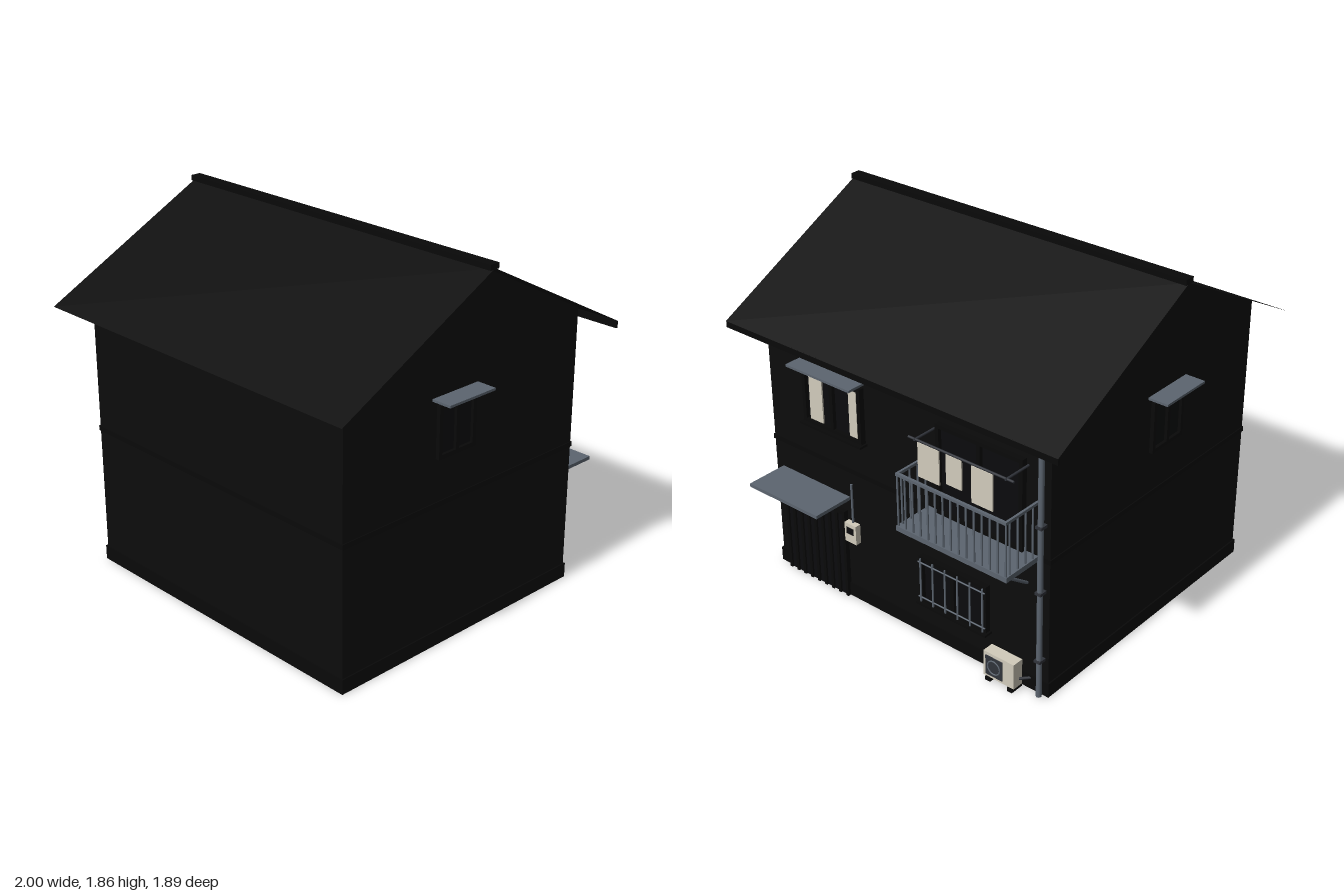
import * as THREE from 'three';

const paint = (name, color, side = THREE.FrontSide) => {
  const m = new THREE.MeshStandardMaterial({ color, side });
  m.name = name;
  return m;
};

export function createModel() {
  const house = new THREE.Group();
  house.name = 'house';

  const wall = paint('wall black', 0x0c0c0c);
  const roofing = paint('roof black', 0x0d0d0d, THREE.DoubleSide);
  const timber = paint('timber black', 0x090909);
  const glass = paint('dark glass', 0x0a0b0d);
  const metal = paint('grey metal', 0x5c6570);
  const darkMetal = paint('dark metal', 0x30333a);
  const cream = paint('cream', 0xd2ccbc);

  const group = (name, parent = house) => {
    const g = new THREE.Group();
    g.name = name;
    parent.add(g);
    return g;
  };
  const add = (name, geo, mat, parent) => {
    const m = new THREE.Mesh(geo, mat);
    m.name = name;
    parent.add(m);
    return m;
  };
  // Box given by its limits on each axis
  const box = (name, mat, [x0, x1], [y0, y1], [z0, z1], parent = house) => {
    const m = add(name, new THREE.BoxGeometry(x1 - x0, y1 - y0, z1 - z0), mat, parent);
    m.position.set((x0 + x1) / 2, (y0 + y1) / 2, (z0 + z1) / 2);
    return m;
  };
  // Round rod between two points
  const rod = (name, mat, a, b, r, parent = house) => {
    const p = new THREE.Vector3(...a), q = new THREE.Vector3(...b);
    const m = add(name, new THREE.CylinderGeometry(r, r, p.distanceTo(q), 8), mat, parent);
    m.position.copy(p).lerp(q, 0.5);
    m.quaternion.setFromUnitVectors(new THREE.Vector3(0, 1, 0), q.sub(p).normalize());
    return m;
  };

  // Walls with gables, extruded along x
  const W = 0.865, BACK = -0.72, FRONT = 0.81, MID = 0.045, EAVE = 1.433, PEAK = 1.83;
  const gable = new THREE.Shape([[-FRONT, 0], [-BACK, 0], [-BACK, EAVE], [-MID, PEAK], [-FRONT, EAVE]]
    .map(([x, y]) => new THREE.Vector2(x, y)));
  const body = new THREE.ExtrudeGeometry(gable, { depth: 2 * W, bevelEnabled: false });
  body.translate(0, 0, -W).rotateY(Math.PI / 2);
  add('walls', body, wall, house);
  box('plinth', timber, [-0.872, 0.872], [0, 0.075], [BACK - 0.008, FRONT + 0.008]);
  box('belt', timber, [-0.87, 0.87], [0.72, 0.745], [BACK - 0.006, FRONT + 0.006]);

  // Thin roof sheets, ridge cap and back eave board
  const roof = group('roof');
  const run = 0.9, drop = run * (PEAK - EAVE) / (FRONT - MID);
  for (const s of [1, -1]) {
    const sheet = new THREE.PlaneGeometry(2, Math.hypot(run, drop));
    sheet.rotateX(-Math.PI / 2 + s * Math.atan2(drop, run));
    sheet.translate(0, PEAK + 0.004 - drop / 2, MID + s * run / 2);
    add('roofSlope', sheet, roofing, roof);
  }
  box('ridgeCap', timber, [-1, 1], [1.828, 1.855], [0.02, 0.074], roof);
  box('eaveBoard', timber, [-1, 1], [1.334, 1.368], [-0.853, -0.842], roof);

  // Small hooded windows on both gable walls
  for (const s of [1, -1]) {
    const g = group('gableWindow');
    const span = (a, b) => (s > 0 ? [a, b] : [-b, -a]);
    box('pane', glass, span(0.86, 0.87), [0.98, 1.2], [0.02, 0.22], g);
    for (const z of [0, 0.11, 0.22]) box('stile', timber, span(0.86, 0.885), [0.96, 1.22], [z, z + 0.02], g);
    for (const y of [0.96, 1.2]) box('rail', timber, span(0.86, 0.885), [y, y + 0.02], [0, 0.24], g);
    box('hood', metal, span(0.86, 0.97), [1.245, 1.257], [-0.025, 0.27], g);
  }

  // Framed window on the back wall
  const backWindow = (name, x0, x1, y0, y1, mullions) => {
    const g = group(name);
    box('pane', glass, [x0, x1], [y0, y1], [-0.73, -0.715], g);
    for (let i = 0; i <= mullions; i++) {
      const x = x0 + (x1 - x0) * i / mullions;
      box('stile', timber, [x - 0.01, x + 0.01], [y0, y1], [-0.75, -0.715], g);
    }
    for (const y of [y0, y1]) box('rail', timber, [x0 - 0.01, x1 + 0.01], [y - 0.01, y + 0.01], [-0.75, -0.715], g);
    return g;
  };
  const bedroom = backWindow('bedroomWindow', 0.245, 0.605, 0.93, 1.205, 2);
  box('wideCurtain', cream, [0.495, 0.58], [0.94, 1.19], [-0.738, -0.73], bedroom);
  box('narrowCurtain', cream, [0.27, 0.32], [0.94, 1.19], [-0.738, -0.73], bedroom);
  box('sill', timber, [0.225, 0.625], [0.91, 0.922], [-0.768, -0.715], bedroom);
  box('hood', metal, [0.22, 0.63], [1.237, 1.249], [-0.83, -0.715], bedroom);
  backWindow('balconyDoor', -0.72, -0.24, 0.75, 1.2, 2);

  // Barred ground floor window
  const kitchen = backWindow('barredWindow', -0.51, -0.12, 0.21, 0.45, 2);
  for (let i = 0; i < 6; i++) {
    const x = -0.505 + i * 0.076;
    rod('bar', metal, [x, 0.21, -0.757], [x, 0.45, -0.757], 0.005, kitchen);
  }
  for (const y of [0.235, 0.43]) rod('crossBar', metal, [-0.52, y, -0.757], [-0.11, y, -0.757], 0.004, kitchen);
  box('sill', timber, [-0.53, -0.1], [0.193, 0.205], [-0.768, -0.715], kitchen);

  // Slatted entrance with its awning
  const entrance = group('entrance');
  box('door', glass, [0.39, 0.79], [0, 0.49], [-0.735, -0.715], entrance);
  for (let i = 0; i < 9; i++) {
    const x = 0.39 + i * 0.05;
    box('slat', timber, [x - 0.008, x + 0.008], [0, 0.49], [-0.745, -0.715], entrance);
  }
  box('lintel', timber, [0.38, 0.8], [0.475, 0.495], [-0.747, -0.715], entrance);
  box('awning', metal, [0.36, 0.82], [0.56, 0.578], [-0.945, -0.715], entrance);

  // Electricity meter
  const meter = group('meter');
  box('meterCase', cream, [0.3, 0.375], [0.34, 0.445], [-0.752, -0.715], meter);
  box('meterDial', glass, [0.315, 0.36], [0.39, 0.425], [-0.756, -0.75], meter);
  rod('conduit', metal, [0.338, 0.44, -0.729], [0.338, 0.66, -0.729], 0.006, meter);

  // Balcony with railing and braces
  const balcony = group('balcony');
  const L = -0.8, R = -0.165, OUT = -0.937;
  box('floor', metal, [L - 0.004, R + 0.004], [0.717, 0.743], [-0.945, -0.715], balcony);
  box('frontRail', metal, [L, R], [1.006, 1.02], [OUT - 0.007, OUT + 0.007], balcony);
  for (let i = 0; i <= 14; i++) {
    const x = L + 0.005 + (R - L - 0.01) * i / 14;
    rod('baluster', metal, [x, 0.74, OUT], [x, 1.01, OUT], 0.005, balcony);
  }
  for (const x of [L + 0.006, R - 0.006]) {
    box('sideRail', metal, [x - 0.006, x + 0.006], [1.006, 1.02], [OUT, -0.72], balcony);
    for (const z of [-0.755, -0.805, -0.857, -0.912])
      rod('baluster', metal, [x, 0.74, z], [x, 1.01, z], 0.005, balcony);
  }
  for (const x of [-0.74, -0.22]) rod('brace', metal, [x, 0.575, -0.725], [x, 0.72, -0.925], 0.008, balcony);

  // Drying pole and hung cloths
  const laundry = group('laundry');
  rod('pole', darkMetal, [-0.78, 1.177, -0.866], [-0.18, 1.177, -0.866], 0.006, laundry);
  for (const x of [-0.74, -0.22]) rod('poleArm', darkMetal, [x, 1.177, -0.72], [x, 1.177, -0.874], 0.006, laundry);
  for (const [x0, x1, y] of [[-0.36, -0.235, 0.995], [-0.49, -0.4, 1.02], [-0.665, -0.545, 0.985]])
    box('cloth', cream, [x0, x1], [y, 1.17], [-0.87, -0.863], laundry);

  // Downpipe with its elbow to the eave
  const pipe = group('downpipe');
  rod('pipe', metal, [-0.83, 0, -0.745], [-0.83, 1.38, -0.745], 0.014, pipe);
  rod('elbow', metal, [-0.83, 1.37, -0.735], [-0.83, 1.37, -0.82], 0.012, pipe);
  for (const y of [0.2, 0.57, 0.915])
    box('bracket', darkMetal, [-0.847, -0.813], [y - 0.007, y + 0.007], [-0.763, -0.715], pipe);

  // Outdoor air conditioner
  const cooler = group('airConditioner');
  box('case', cream, [-0.73, -0.55], [0.02, 0.157], [-0.803, -0.742], cooler);
  box('grille', darkMetal, [-0.665, -0.565], [0.035, 0.14], [-0.808, -0.8], cooler);
  const fan = add('fan', new THREE.TorusGeometry(0.036, 0.004, 6, 20), metal, cooler);
  fan.position.set(-0.615, 0.0875, -0.808);
  for (const x of [-0.71, -0.58]) box('foot', timber, [x - 0.015, x + 0.015], [0, 0.02], [-0.81, -0.735], cooler);
  rod('hose', darkMetal, [-0.73, 0.06, -0.765], [-0.77, 0.06, -0.72], 0.007, cooler);

  return house;
}
